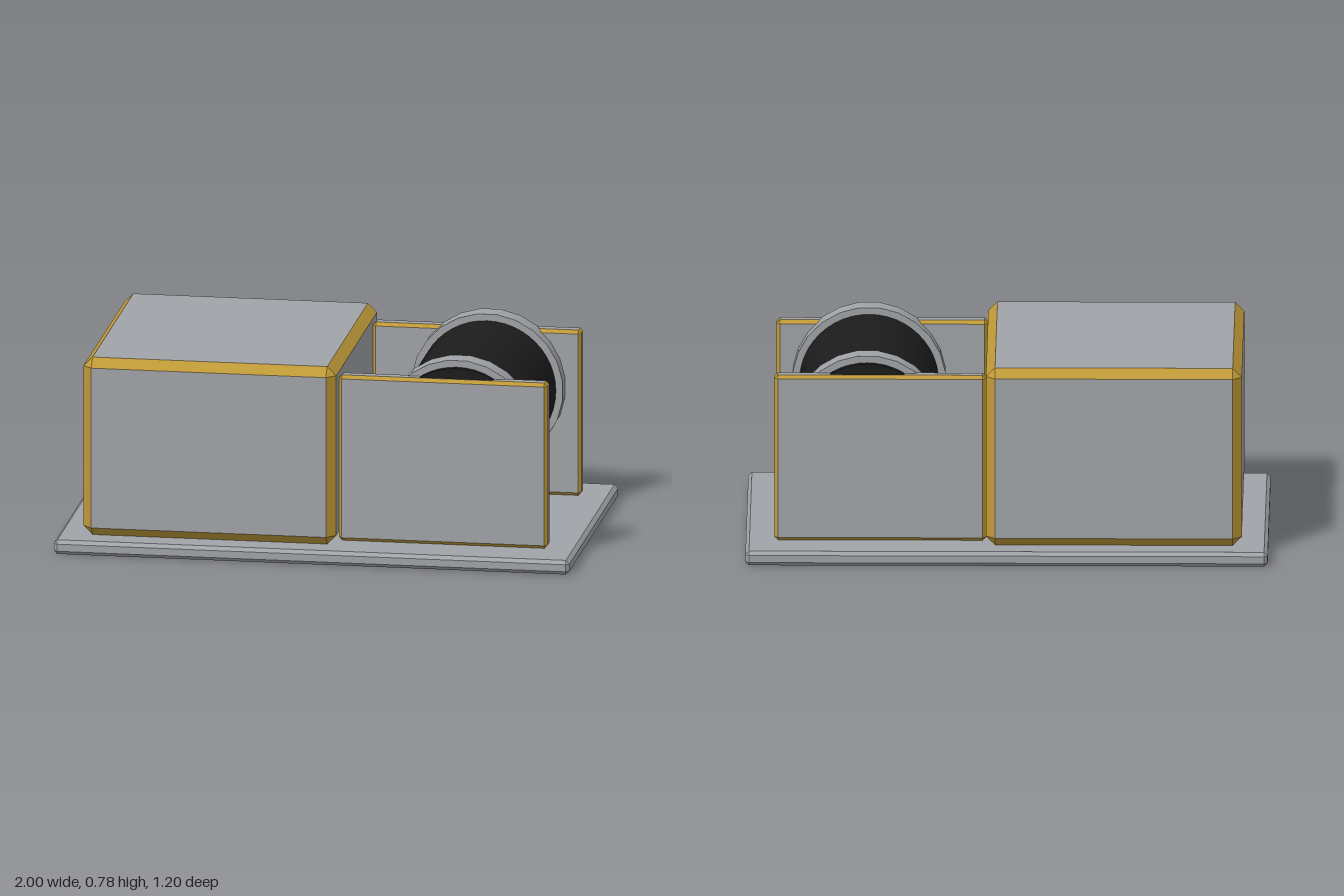
import * as THREE from 'three';

// Box with 45-degree chamfers: group 0 holds the six faces, group 1 the chamfers and corners.
function chamferedBox(w, h, d, c) {
  const half = [w / 2, h / 2, d / 2];
  const positions = [];
  // Corner with the given signs, lying on the face of one axis.
  const corner = (signs, axis) =>
    new THREE.Vector3(...half.map((v, i) => signs[i] * (i === axis ? v : v - c)));
  const addPolygon = (pts) => {
    const normal = pts[1].clone().sub(pts[0]).cross(pts[2].clone().sub(pts[0]));
    const centre = pts.reduce((sum, p) => sum.add(p), new THREE.Vector3());
    if (normal.dot(centre) < 0) pts.reverse();
    for (let i = 1; i < pts.length - 1; i++) {
      for (const p of [pts[0], pts[i], pts[i + 1]]) positions.push(p.x, p.y, p.z);
    }
  };
  const signsFor = (a, s, u, v) => {
    const signs = [0, 0, 0];
    signs[a] = s;
    signs[(a + 1) % 3] = u;
    signs[(a + 2) % 3] = v;
    return signs;
  };
  const pairs = [[-1, -1], [1, -1], [1, 1], [-1, 1]];

  for (let a = 0; a < 3; a++) {
    for (const s of [-1, 1]) addPolygon(pairs.map(([u, v]) => corner(signsFor(a, s, u, v), a)));
  }
  const faceCount = positions.length / 3;
  for (let a = 0; a < 3; a++) {
    const b = (a + 1) % 3, e = (a + 2) % 3;
    for (const [u, v] of pairs) {
      const start = signsFor(a, -1, u, v), end = signsFor(a, 1, u, v);
      addPolygon([corner(start, b), corner(end, b), corner(end, e), corner(start, e)]);
    }
  }
  for (const s of [-1, 1]) {
    for (const [u, v] of pairs) addPolygon([0, 1, 2].map((a) => corner([s, u, v], a)));
  }

  const geometry = new THREE.BufferGeometry();
  geometry.setAttribute('position', new THREE.Float32BufferAttribute(positions, 3));
  geometry.addGroup(0, faceCount, 0);
  geometry.addGroup(faceCount, positions.length / 3 - faceCount, 1);
  geometry.computeVertexNormals();
  return geometry;
}

export function createModel() {
  const model = new THREE.Group();
  model.name = 'winch';

  const steel = new THREE.MeshStandardMaterial({ color: 0xa0a3a7 });
  steel.name = 'steel grey';
  const gold = new THREE.MeshStandardMaterial({ color: 0xc09a38 });
  gold.name = 'gold edge';
  const black = new THREE.MeshStandardMaterial({ color: 0x1c1c1c });
  black.name = 'black drum';

  const add = (name, geometry, material, x, y, z) => {
    const mesh = new THREE.Mesh(geometry, material);
    mesh.name = name;
    mesh.position.set(x, y, z);
    model.add(mesh);
    return mesh;
  };

  // Base plate and machine housing
  add('basePlate', chamferedBox(2, 0.056, 1.2, 0.014), [steel, steel], 0, 0.028, 0);
  add('housing', chamferedBox(0.98, 0.702, 1.05, 0.035), [steel, gold], -0.41, 0.408, 0);

  // Drum running through both side plates
  const axisX = 0.535, axisY = 0.487;
  const drum = new THREE.CylinderGeometry(0.267, 0.267, 0.846, 48).rotateX(Math.PI / 2);
  add('drum', drum, black, axisX, axisY, 0);

  // Side plates and drum flanges, mirrored front and back
  const plate = chamferedBox(0.81, 0.654, 0.062, 0.013);
  const flange = new THREE.CylinderGeometry(0.295, 0.295, 0.085, 24, 1, false, Math.PI / 24)
    .rotateX(Math.PI / 2);
  for (const [side, s] of [['front', 1], ['back', -1]]) {
    add(side + 'SidePlate', plate, [steel, gold], 0.485, 0.385, s * 0.408);
    add(side + 'Flange', flange, steel, axisX, axisY, s * 0.358);
  }
  return model;
}
